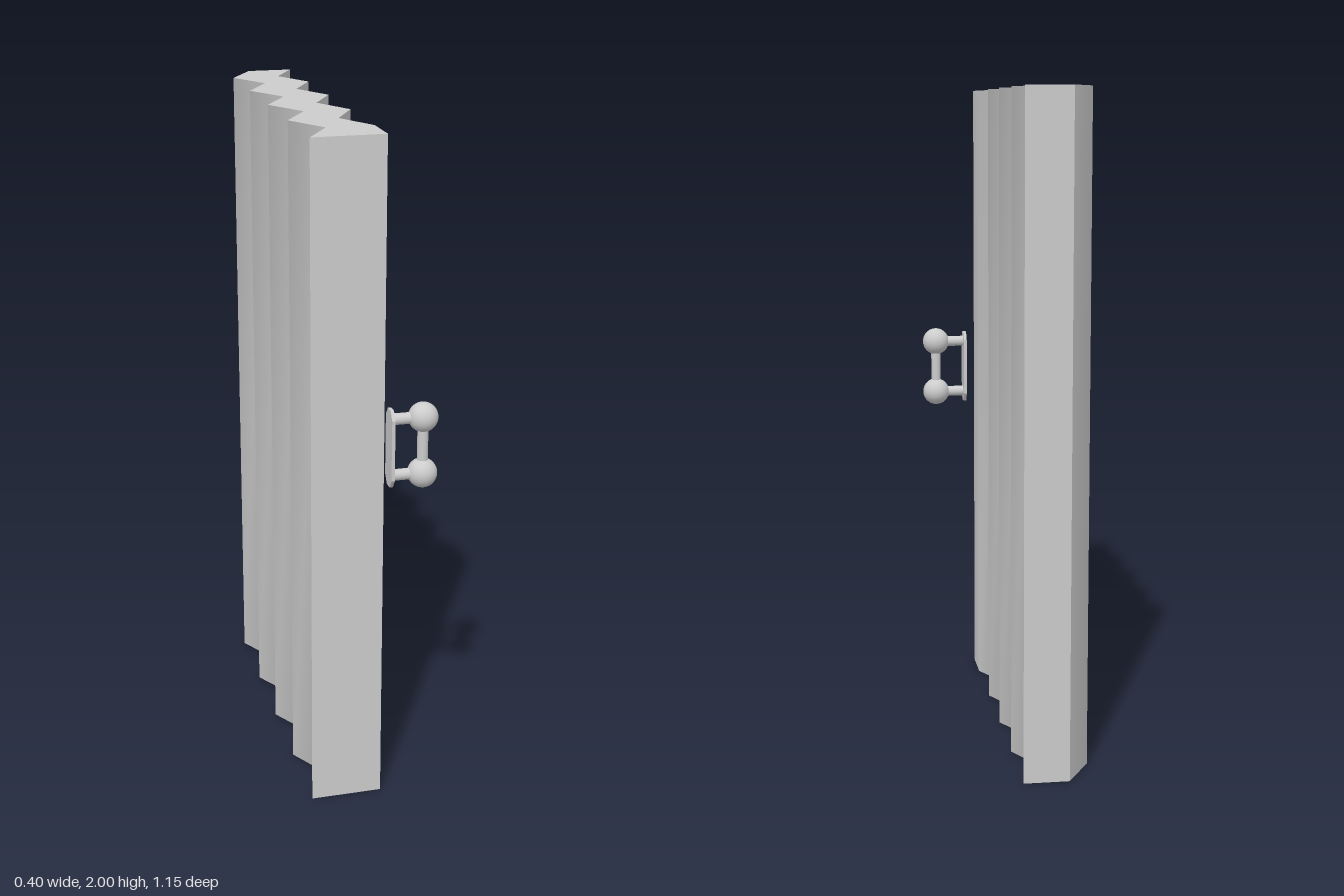
import * as THREE from 'three';

const H = 2, FOLDS = 9, Z0 = -0.575, STEP = 1.15 / FOLDS;
const grey = new THREE.MeshStandardMaterial({ color: 0xcccccc });

function add(parent, name, geometry, x = 0, y = 0, z = 0) {
  const mesh = new THREE.Mesh(geometry, grey);
  mesh.name = name;
  mesh.position.set(x, y, z);
  parent.add(mesh);
  return mesh;
}

// Upright wall following a path of [x, z] points, softly shaded across the folds
function wall(path) {
  const g = new THREE.PlaneGeometry(1, H, path.length - 1, 1);
  const p = g.attributes.position;
  for (let i = 0; i < p.count; i++) {
    const [x, z] = path[i % path.length];
    p.setXYZ(i, x, i < path.length ? H : 0, z);
  }
  g.computeVertexNormals();
  return g;
}

export function createModel() {
  const model = new THREE.Group();
  model.name = 'foldingDoor';

  // Zigzag outlines of the two faces, from back to front
  const left = [], right = [];
  for (let i = 0; i <= FOLDS; i++) {
    const z = Z0 + i * STEP, out = i % 2 === 0;
    left.push([out ? -0.125 : -0.2, z]);
    right.push([out || i === FOLDS ? 0.012 : -0.056, z]);
  }

  // Door panel: two pleated faces, two ends, top and bottom
  const door = new THREE.Group();
  door.name = 'pleatedDoor';
  model.add(door);
  const rightRev = [...right].reverse();
  add(door, 'rightFace', wall(rightRev));
  add(door, 'leftFace', wall(left));
  add(door, 'frontEnd', wall([left[FOLDS], right[FOLDS]]));
  add(door, 'backEnd', wall([right[0], left[0]]));
  const outline = new THREE.Shape([...left, ...rightRev].map(([x, z]) => new THREE.Vector2(x, -z)));
  add(door, 'topCap', new THREE.ShapeGeometry(outline).rotateX(-Math.PI / 2), 0, H, 0);
  const under = new THREE.Shape([...left, ...rightRev].map(([x, z]) => new THREE.Vector2(x, z)));
  add(door, 'bottomCap', new THREE.ShapeGeometry(under).rotateX(Math.PI / 2));

  // Handle: back plate with clipped ends, two posts, two knobs and a grip bar
  const handle = new THREE.Group();
  handle.name = 'handle';
  handle.position.set(0, 1.077, 0.487);
  model.add(handle);
  const plate = new THREE.Shape([[0.033, -0.092], [0.033, 0.092], [0.014, 0.118], [-0.014, 0.118],
    [-0.033, 0.092], [-0.033, -0.092], [-0.014, -0.118], [0.014, -0.118]]
    .map(([x, y]) => new THREE.Vector2(x, y)));
  add(handle, 'backPlate',
    new THREE.ExtrudeGeometry(plate, { depth: 0.01, bevelEnabled: false }).rotateY(Math.PI / 2), 0.051);
  for (const y of [-0.086, 0.086]) {
    add(handle, 'post', new THREE.CylinderGeometry(0.017, 0.017, 0.096, 24).rotateZ(Math.PI / 2), 0.104, y);
    add(handle, 'knob', new THREE.SphereGeometry(0.044, 32, 20), 0.153, y);
  }
  add(handle, 'gripBar', new THREE.CylinderGeometry(0.016, 0.016, 0.172, 24), 0.153);

  return model;
}
